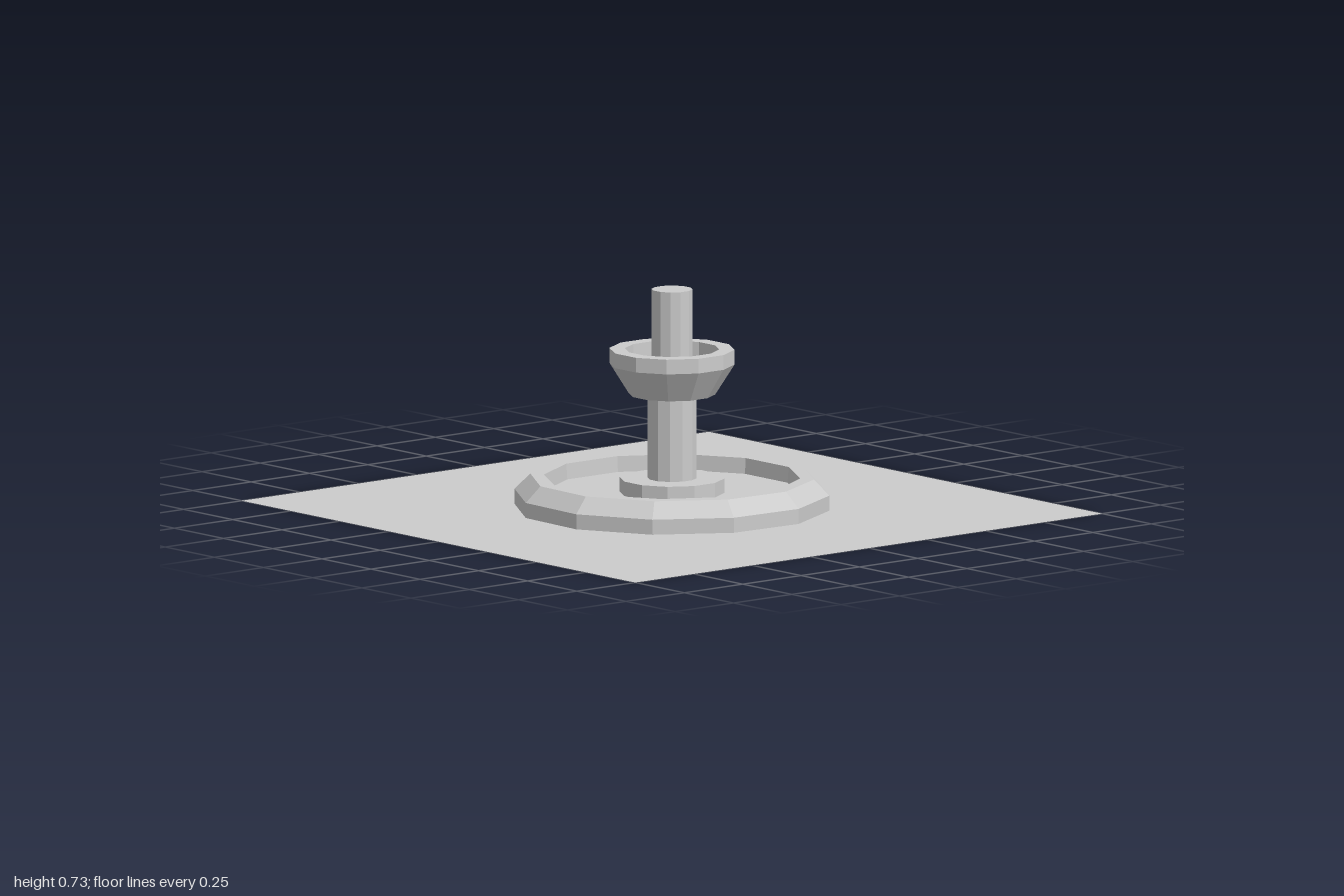
import * as THREE from 'three';

const SIDES = 12;
const STEP = Math.PI / 180;

export function createModel() {
  const model = new THREE.Group();
  const stone = new THREE.MeshStandardMaterial({ color: 0xcccccc, flatShading: true });

  function add(name, geometry, material = stone) {
    const mesh = new THREE.Mesh(geometry, material);
    mesh.name = name;
    model.add(mesh);
    return mesh;
  }

  // Twelve-sided turned part; the profile runs up the outside, then inwards
  function turned(name, profile, startDegrees = 15) {
    const points = profile.map(([r, y]) => new THREE.Vector2(r, y));
    return add(name, new THREE.LatheGeometry(points, SIDES, startDegrees * STEP));
  }

  // Thin square ground
  const ground = stone.clone();
  ground.side = THREE.DoubleSide;
  add('ground', new THREE.PlaneGeometry(2, 2).rotateX(-Math.PI / 2), ground);

  // Basin: bevelled kerb, flat rim, inner wall and floor
  const basin = turned('basin', [
    [0.52, 0], [0.52, 0.05], [0.468, 0.102], [0.422, 0.102], [0.418, 0.05], [0, 0.05],
  ], 12.8);
  // The inner wall is turned slightly against the kerb
  const position = basin.geometry.attributes.position;
  const v = new THREE.Vector3();
  const up = new THREE.Vector3(0, 1, 0);
  for (let i = 0; i < position.count; i++) {
    v.fromBufferAttribute(position, i);
    if (Math.hypot(v.x, v.z) < 0.44) {
      v.applyAxisAngle(up, 2.2 * STEP);
      position.setXYZ(i, v.x, v.y, v.z);
    }
  }

  // Foot and column
  turned('pedestal', [[0.172, 0.05], [0.172, 0.098], [0, 0.098]]);
  turned('lowerColumn', [[0.081, 0.09], [0.081, 0.4]]);

  // Upper bowl with its recessed floor
  turned('bowl', [
    [0, 0.377], [0.142, 0.377], [0.206, 0.478], [0.206, 0.527],
    [0.155, 0.527], [0.153, 0.475], [0, 0.475],
  ]);
  turned('spout', [[0.067, 0.47], [0.067, 0.726], [0, 0.726]]);

  return model;
}
